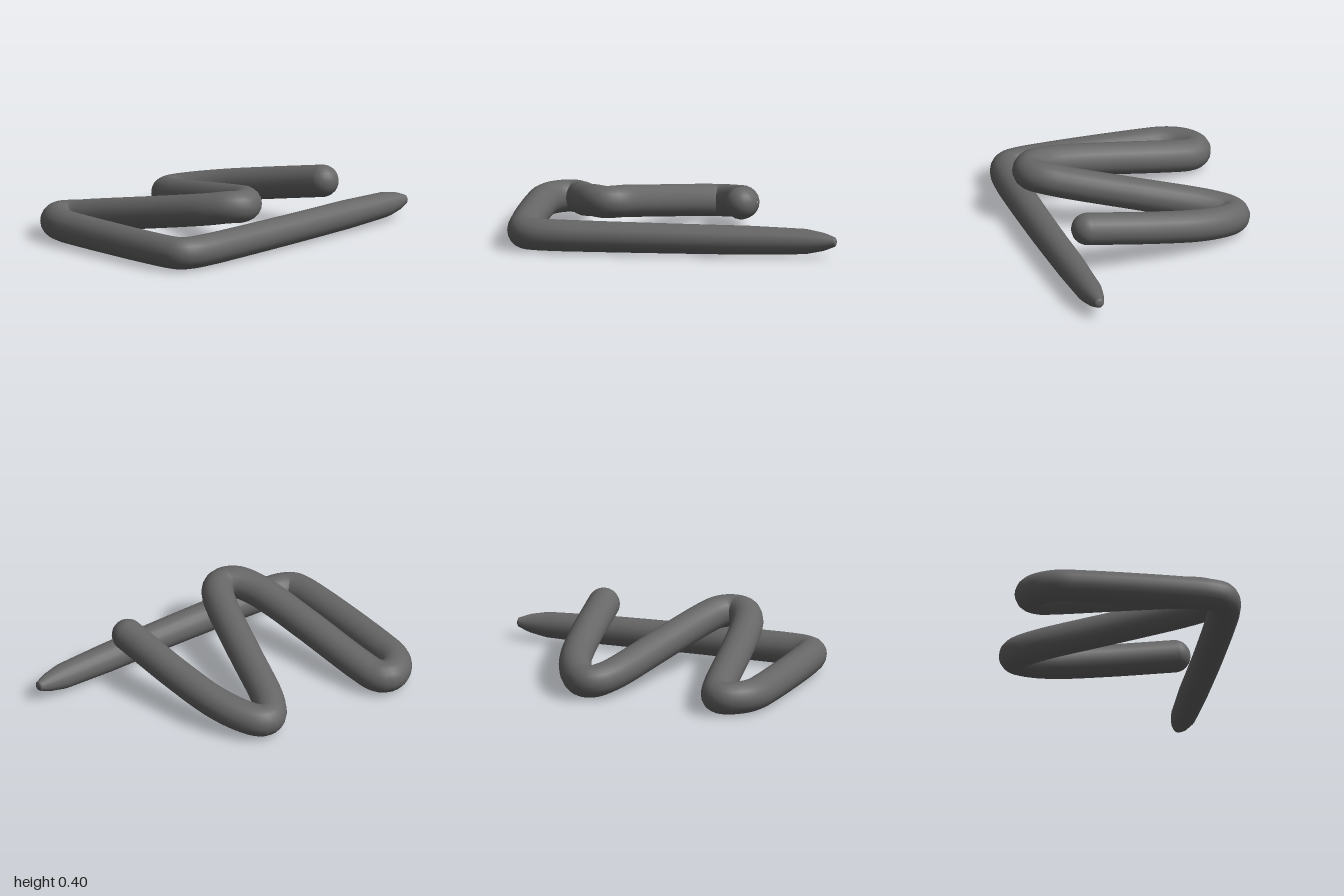
import * as THREE from 'three';

const R = 0.097;

// Centre line seen from above, [x, z], from the thin tip to the raised end
const PATH = [
  [0.61, -0.985], [0.61, -0.8], [0.607, -0.5], [0.602, 0], [0.587, 0.5], [0.575, 0.7],
  [0.553, 0.82], [0.52, 0.875], [0.45, 0.895], [0.3, 0.9], [0, 0.893], [-0.32, 0.875],
  [-0.45, 0.86], [-0.53, 0.825], [-0.58, 0.775], [-0.603, 0.72], [-0.59, 0.68],
  [-0.545, 0.652], [-0.43, 0.628], [0, 0.58], [0.3, 0.54],
  [0.43, 0.508], [0.52, 0.46], [0.562, 0.4], [0.55, 0.34], [0.5, 0.29], [0.38, 0.232],
  [0, 0.095], [-0.36, -0.03], [-0.46, -0.08], [-0.515, -0.125], [-0.533, -0.17],
  [-0.515, -0.215], [-0.42, -0.28], [-0.25, -0.34], [0.05, -0.382], [0.48, -0.413],
];
const RISE_FROM = 17; // the first bends lie flat, later runs climb to the right

// Radius at a distance along the wire: [distance, radius]
const TAPER = [[0, 0.03], [0.06, 0.054], [0.17, 0.076], [0.5, 0.087], [1.5, 0.094], [1.9, R]];

function radiusAt(d) {
  for (let i = 1; i < TAPER.length; i++) {
    const [d0, r0] = TAPER[i - 1], [d1, r1] = TAPER[i];
    if (d <= d1) return THREE.MathUtils.mapLinear(d, d0, d1, r0, r1);
  }
  return R;
}

export function createModel() {
  const group = new THREE.Group();
  group.name = 'bentWire';
  const material = new THREE.MeshStandardMaterial({ color: 0x666666 });

  const points = PATH.map(([x, z], i) => {
    const t = i < RISE_FROM ? 0 : THREE.MathUtils.clamp((x + 0.56) / 1.08, 0, 1);
    return new THREE.Vector3(x, R + 0.206 * t, z);
  });
  const curve = new THREE.CatmullRomCurve3(points, false, 'centripetal');
  curve.arcLengthDivisions = 1500;
  const length = curve.getLength();

  // Round wire, its rings scaled to the taper
  const steps = 300, sides = 20;
  const geometry = new THREE.TubeGeometry(curve, steps, 1, sides, false);
  const pos = geometry.attributes.position, normal = geometry.attributes.normal;
  const n = new THREE.Vector3();
  for (let i = 0; i <= steps; i++) {
    const centre = curve.getPointAt(i / steps);
    const r = radiusAt((i / steps) * length);
    for (let j = 0; j <= sides; j++) {
      const k = i * (sides + 1) + j;
      n.fromBufferAttribute(normal, k).multiplyScalar(r).add(centre);
      pos.setXYZ(k, n.x, n.y, n.z);
    }
  }
  const wire = new THREE.Mesh(geometry, material);
  wire.name = 'wire';
  group.add(wire);

  // Rounded ends
  const addEnd = (name, centre, r, depth) => {
    const end = new THREE.Mesh(new THREE.SphereGeometry(r, 20, 14), material);
    end.name = name;
    end.position.copy(centre);
    end.scale.z = depth;
    group.add(end);
  };
  addEnd('thinTip', points[0], 0.03, 0.5);
  addEnd('raisedEnd', points[points.length - 1], R, 1);
  return group;
}
